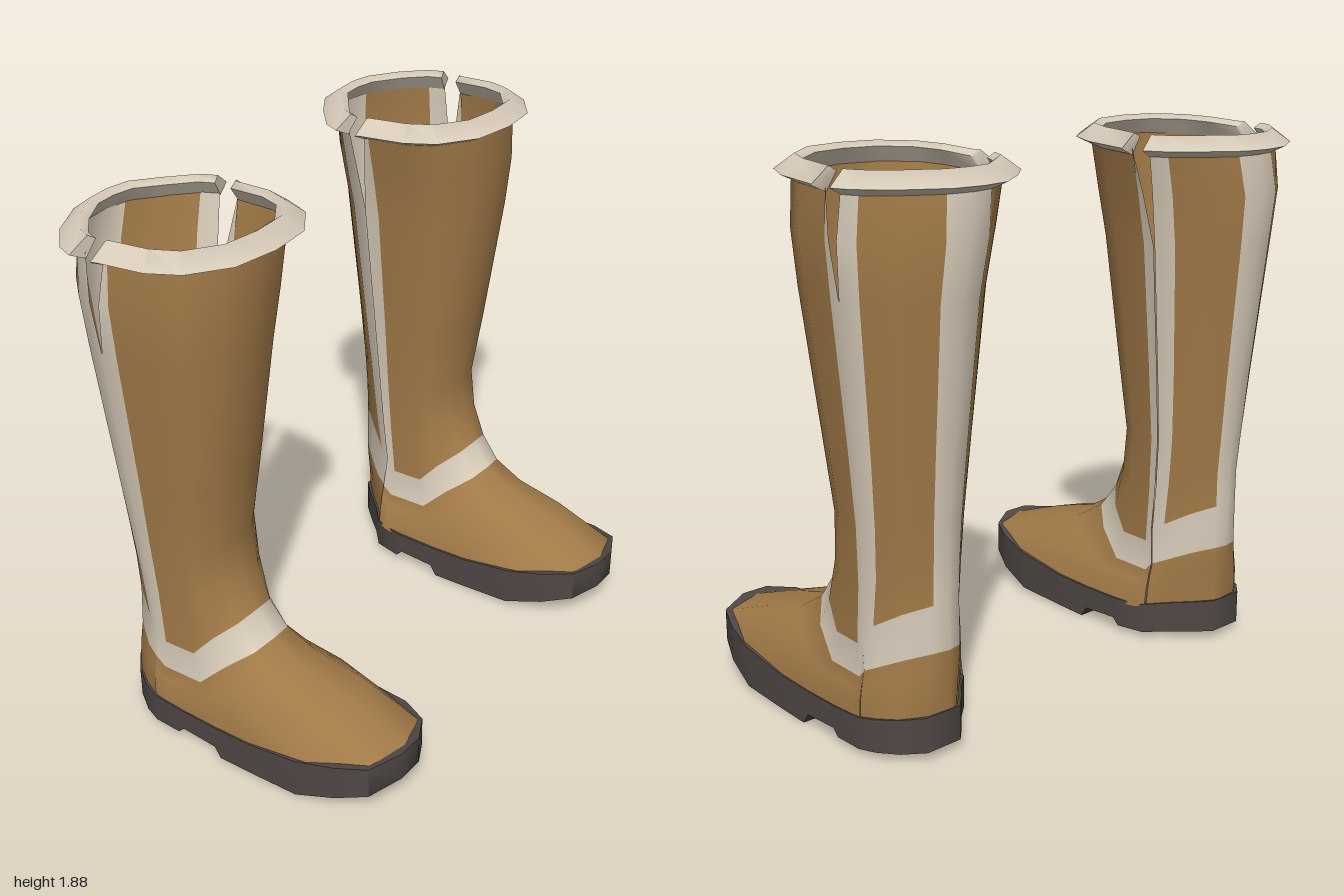
import * as THREE from 'three';
import { mergeVertices, toCreasedNormals } from 'three/addons/utils/BufferGeometryUtils.js';

const paint = (name, color, side = THREE.FrontSide) => {
  const m = new THREE.MeshStandardMaterial({ color, side });
  m.name = name;
  return m;
};
const lerp = THREE.MathUtils.lerp;

// Column rules for half a ring, front centre to back centre. Columns 5 and 6 are the two lips of the side slit.
// The inner half of the heel and calf is cut in more than the outer half.
const SHAFT_OUT = [0, 0.45, 0.8, 0.93, 0.97, 1, 1, 0.93, 0.66, 0.28, 0];
const SHAFT_IN = [0, 0.45, 0.8, 0.93, 0.97, 1, 0.98, 0.89, 0.59, 0.28, 0];
const FOOT_OUT = [0, 0.6, 0.95, 1, 1, 0.98, 0.97, 0.88, 0.72, 0.4, 0];
const FOOT_IN = [0, 0.6, 0.95, 1, 0.99, 0.9, 0.86, 0.6, 0.36, 0.12, 0];
const FRONT = [0, 0.05, 0.28, 0.55, 1];
const BACK = [0, 0.5, 0.93, 1];
const Y_FRONT = [0, 0.1, 0.45, 1, 1];
const Y_BACK = [0.3, 0.3, 0.5, 0.8, 1, 1];
const COLS = 20;

// Rows: y front/side/back, z front/stripe front/stripe back/back, x inner/outer, foot blend, slit half gap
const ROWS = [
  [0.205, 0.115, 0.145, 0.605, -0.26, -0.36, -0.485, 0.422, 0.883, 1, 0],
  [0.295, 0.17, 0.22, 0.36, -0.26, -0.36, -0.488, 0.435, 0.88, 0.8, 0],
  [0.345, 0.21, 0.3, 0.18, -0.265, -0.355, -0.492, 0.455, 0.87, 0.4, 0],
  [0.415, 0.25, 0.36, 0.07, -0.27, -0.35, -0.495, 0.475, 0.858, 0.1, 0],
  [0.505, 0.36, 0.52, 0, -0.26, -0.335, -0.495, 0.485, 0.855, 0, 0],
  [0.62, 0.56, 0.64, -0.05, -0.275, -0.355, -0.495, 0.48, 0.856, 0, 0],
  [0.76, 0.76, 0.78, -0.073, -0.285, -0.37, -0.505, 0.473, 0.868, 0, 0],
  [1, 1, 1, -0.035, -0.285, -0.385, -0.525, 0.452, 0.89, 0, 0],
  [1.48, 1.48, 1.48, 0.03, -0.285, -0.41, -0.575, 0.405, 0.94, 0, 0],
  [1.66, 1.66, 1.66, 0.05, -0.285, -0.42, -0.6, 0.37, 0.955, 0, 0.018],
  [1.84, 1.82, 1.83, 0.058, -0.285, -0.42, -0.58, 0.335, 0.942, 0, 0.037],
];

// Sole stations: z, top y, bottom y, x inner, x outer
const SOLE = [
  [0.618, 0.215, 0.11, 0.6, 0.7],
  [0.565, 0.2, 0.085, 0.505, 0.81],
  [0.46, 0.185, 0.055, 0.45, 0.855],
  [0.32, 0.16, 0.015, 0.42, 0.885],
  [0.12, 0.13, 0.005, 0.418, 0.887],
  [-0.005, 0.125, 0, 0.418, 0.887],
  [-0.03, 0.124, 0.038, 0.418, 0.887],
  [-0.17, 0.124, 0.045, 0.418, 0.887],
  [-0.195, 0.125, 0.02, 0.418, 0.887],
  [-0.3, 0.13, 0.02, 0.44, 0.885],
  [-0.36, 0.137, 0.023, 0.505, 0.865],
  [-0.43, 0.145, 0.027, 0.565, 0.82],
  [-0.488, 0.152, 0.032, 0.62, 0.755],
];

// Point on the boot wall
function wallPoint(row, j) {
  const [yf, ys, yb, zf, z3, z5, zb, xi, xo, foot, gap] = row;
  const outer = j <= 10;
  const m = outer ? j : COLS - j;
  const u = outer ? lerp(SHAFT_OUT[m], FOOT_OUT[m], foot) : -lerp(SHAFT_IN[m], FOOT_IN[m], foot);
  const mid = lerp(z3, z5, 0.42 - 3 * gap);
  const z = m <= 4 ? lerp(zf, z3, FRONT[m])
    : m === 5 ? mid + gap
    : m === 6 ? mid - gap
    : lerp(z5, zb, BACK[m - 7]);
  const y = m <= 4 ? lerp(yf, ys, Y_FRONT[m]) : lerp(ys, yb, Y_BACK[m - 5]);
  return [(xi + xo) / 2 + u * (xo - xi) / 2, y, z];
}

// Geometry from points and one quad list per material; s = -1 mirrors it across x
function build(points, quadLists, s) {
  const g = new THREE.BufferGeometry();
  const pos = points.flatMap(([x, y, z]) => [x * s, y, z]);
  g.setAttribute('position', new THREE.Float32BufferAttribute(pos, 3));
  const index = [];
  quadLists.forEach((quads, i) => {
    const start = index.length;
    for (const q of quads) {
      const [a, b, c, d] = s > 0 ? q : [...q].reverse();
      index.push(a, b, c, a, c, d);
    }
    g.addGroup(start, index.length - start, i);
  });
  g.setIndex(index);
  return g;
}

// Closed solid through rings of four points
function loft(rings, s, crease) {
  const quads = [];
  for (let i = 0; i < rings.length - 1; i++) {
    for (let k = 0; k < 4; k++) {
      const n = (k + 1) % 4;
      quads.push([i * 4 + k, i * 4 + n, i * 4 + 4 + n, i * 4 + 4 + k]);
    }
  }
  const e = (rings.length - 1) * 4;
  quads.push([3, 2, 1, 0], [e, e + 1, e + 2, e + 3]);
  const g = build(rings.flat(), [quads], s);
  g.clearGroups();
  return toCreasedNormals(g, crease);
}

// Leather wall with side stripes, back stripe and ankle band
function wallGeometry(s) {
  const points = ROWS.flatMap(row => Array.from({ length: COLS }, (_, j) => wallPoint(row, j)));
  const leather = [], trim = [];
  for (let r = 0; r < ROWS.length - 1; r++) {
    for (let j = 0; j < COLS; j++) {
      const m = j < 10 ? j : COLS - 1 - j;
      if (m === 5) continue; // slit
      const n = (j + 1) % COLS;
      const stripe = r >= 4 && (m === 4 || m === 6 || m === 9);
      (r === 3 || stripe ? trim : leather).push(
        [r * COLS + j, r * COLS + n, (r + 1) * COLS + n, (r + 1) * COLS + j]);
    }
  }
  const g = mergeVertices(build(points, [leather, trim], s), 1e-5);
  g.computeVertexNormals();
  return g;
}

// Folded cuff along part of the top edge
function cuffGeometry(from, count, s) {
  const top = ROWS[ROWS.length - 1];
  const cx = (top[7] + top[8]) / 2, cz = -0.27;
  const section = [[-0.038, 1.85], [-0.012, 1.867], [0.053, 1.82], [0, 1.795]];
  const rings = [];
  for (let i = 0; i < count; i++) {
    const [x, , z] = wallPoint(top, (from + i) % COLS);
    const len = Math.hypot(x - cx, z - cz);
    const dx = (x - cx) / len, dz = (z - cz) / len;
    const rise = 0.018 * Math.max(0, dz);
    rings.push(section.map(([d, y]) => [x + dx * d, y + rise, z + dz * d]));
  }
  return loft(rings, s, 1.25);
}

export function createModel() {
  const leather = paint('brown leather', 0xa27a48, THREE.DoubleSide);
  const trim = paint('cream trim', 0xd6cab8, THREE.DoubleSide);
  const rubber = paint('dark sole', 0x4f4745);

  const model = new THREE.Group();
  model.name = 'boots';
  for (const s of [1, -1]) {
    const boot = new THREE.Group();
    boot.name = s > 0 ? 'leftBoot' : 'rightBoot';
    const add = (name, geometry, material) => {
      const mesh = new THREE.Mesh(geometry, material);
      mesh.name = name;
      boot.add(mesh);
    };
    add('shaftAndFoot', wallGeometry(s), [leather, trim]);
    add('frontCuff', cuffGeometry(15, 11, s), trim);
    add('backCuff', cuffGeometry(6, 9, s), trim);
    const soleRings = SOLE.map(([z, t, b, xi, xo]) => [[xi, t, z], [xo, t, z], [xo, b, z], [xi, b, z]]);
    add('sole', loft(soleRings, s, 1.25), rubber);
    model.add(boot);
  }
  return model;
}
